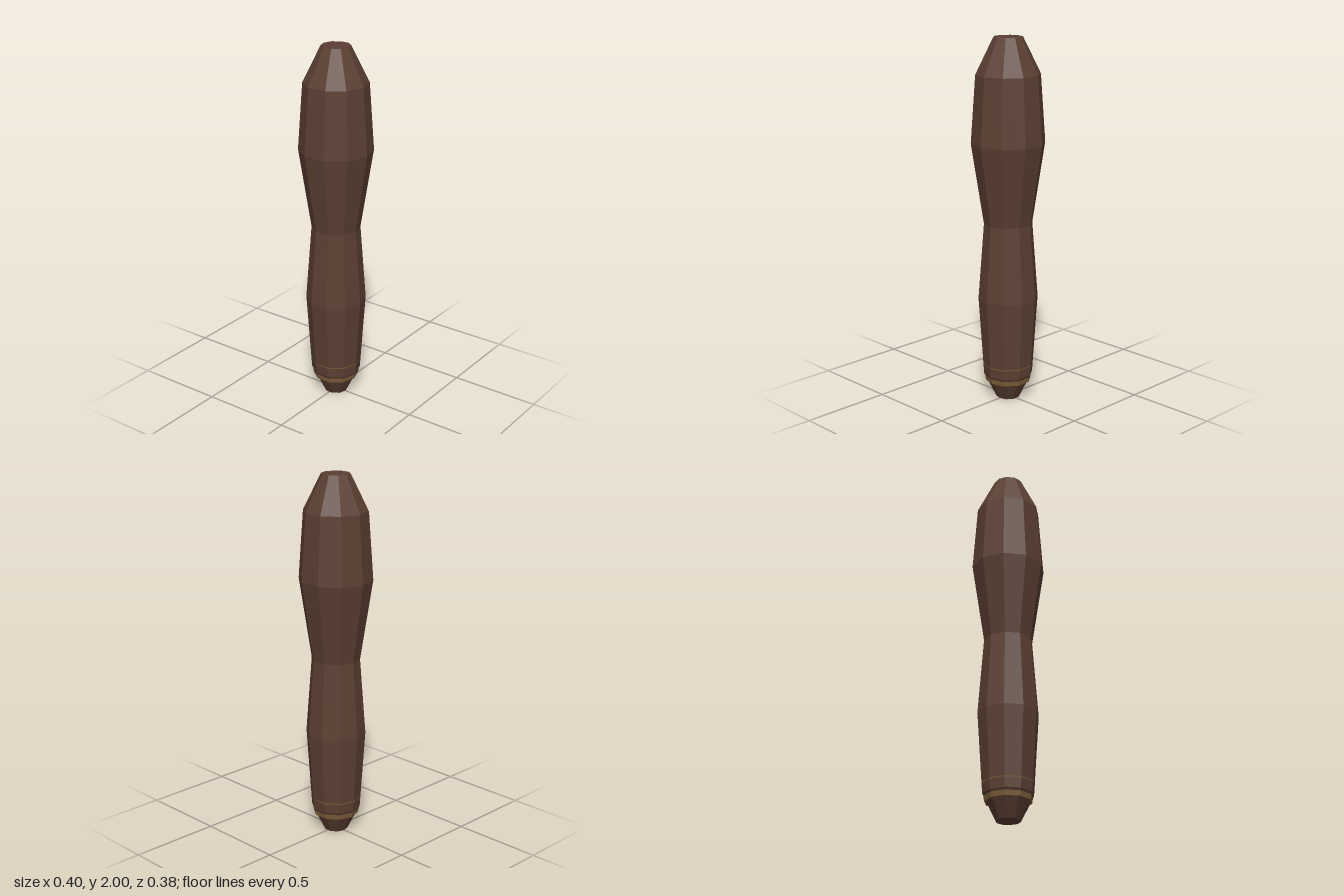
import * as THREE from 'three';

const SIDES = 10;

// Ten-sided turned solid from [radius, height] pairs, corners on the x axis
function turned(name, profile, material) {
  const points = profile.map(([r, y]) => new THREE.Vector2(r, y));
  const geometry = new THREE.LatheGeometry(points, SIDES, Math.PI / 2).toNonIndexed();
  geometry.computeVertexNormals();
  const mesh = new THREE.Mesh(geometry, material);
  mesh.name = name;
  return mesh;
}

export function createModel() {
  const wood = new THREE.MeshStandardMaterial({ color: 0x5c4033, flatShading: true });
  wood.name = 'dark brown wood';
  const brass = new THREE.MeshStandardMaterial({ color: 0x7b5c3a, flatShading: true });
  brass.name = 'dull brass';

  const group = new THREE.Group();
  group.name = 'turnedHandle';

  // Closed body with a narrow waist and tapered ends
  group.add(turned('handleBody', [
    [0, 0], [0.066, 0], [0.135, 0.14], [0.164, 0.58], [0.132, 1.0],
    [0.2, 1.44], [0.174, 1.805], [0.078, 2], [0, 2],
  ], wood));

  // Collar showing below the shoulder, with a hairline rim above
  group.add(turned('collar', [
    [0, 0.1], [0.125, 0.1], [0.1395, 0.2], [0, 0.2],
  ], brass));

  return group;
}
